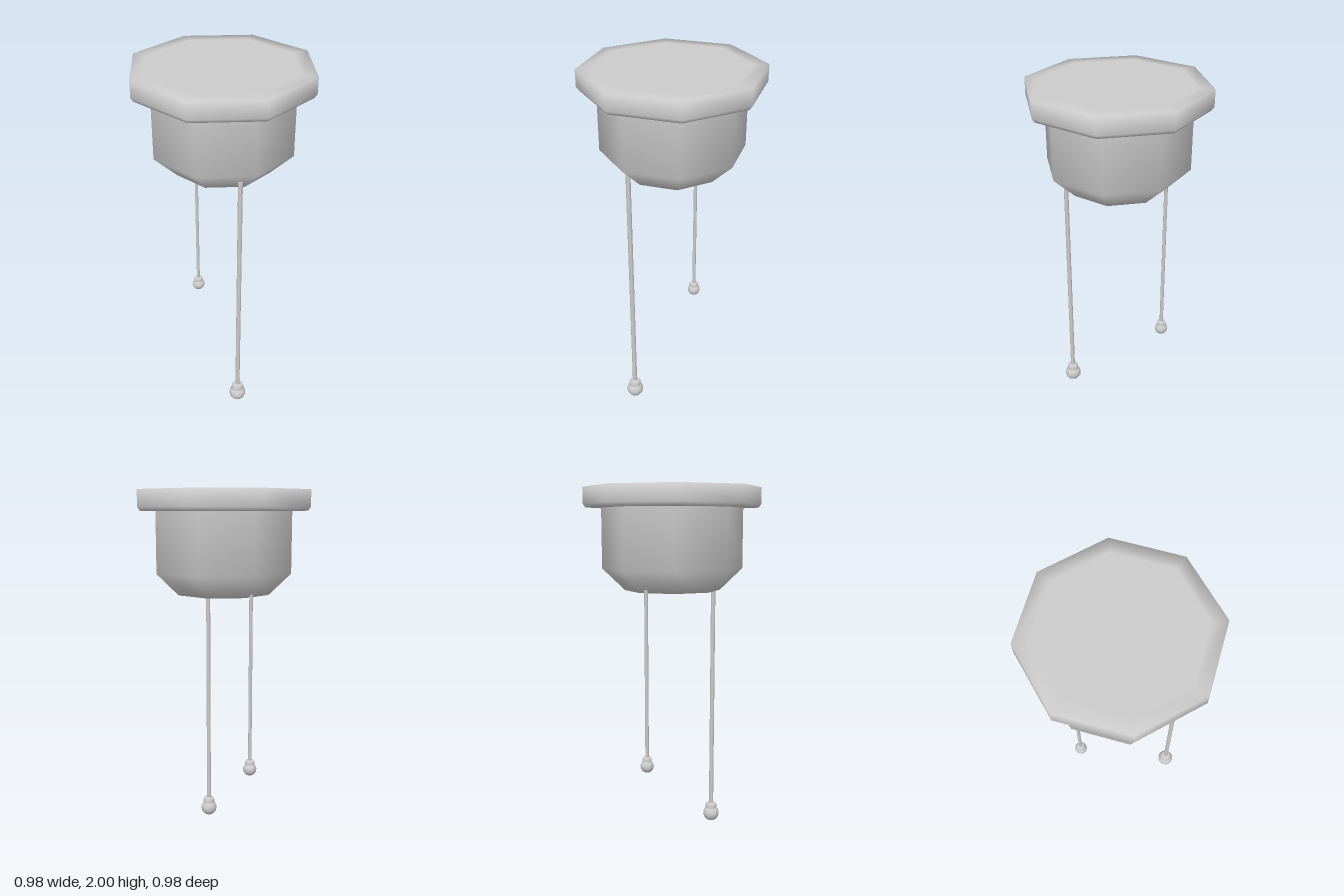
import * as THREE from 'three';

const material = new THREE.MeshStandardMaterial({ color: 0xcccccc });

function addMesh(parent, name, geometry, x = 0, y = 0, z = 0) {
  const mesh = new THREE.Mesh(geometry, material);
  mesh.name = name;
  mesh.position.set(x, y, z);
  parent.add(mesh);
  return mesh;
}

// Revolved profile, listed from bottom to top as [radius, height]
function lathe(profile, sides) {
  return new THREE.LatheGeometry(profile.map(([r, y]) => new THREE.Vector2(r, y)), sides);
}

// Hanging cord with a tapered collar and a ball at its lower end
function pullCord(name, { x, z, top, ballY, ballR, cordR }) {
  const cord = new THREE.Group();
  cord.name = name;
  cord.position.set(x, 0, z);
  const length = top - ballY;
  addMesh(cord, 'cord', new THREE.CylinderGeometry(cordR, cordR, length, 8), 0, ballY + length / 2, 0);
  addMesh(cord, 'ball', new THREE.SphereGeometry(ballR, 16, 12), 0, ballY, 0);
  const collar = [[0.7, 0.7], [0.7, 1.1], [0.56, 1.4], [0, 1.4]].map(([r, y]) => [r * ballR, y * ballR]);
  addMesh(cord, 'collar', lathe(collar, 12), 0, ballY, 0);
  return cord;
}

export function createModel() {
  const model = new THREE.Group();
  model.name = 'pullCordSwitch';

  // Octagonal ceiling plate with softly shaded rim
  addMesh(model, 'ceilingPlate', lathe([
    [0.36, 1.89], [0.475, 1.89], [0.49, 1.91], [0.49, 2], [0.41, 2], [0, 2],
  ], 8));

  // Octagonal housing tapering to a flat underside
  addMesh(model, 'housing', lathe([
    [0, 1.44], [0.265, 1.44], [0.39, 1.56], [0.39, 1.9],
  ], 8));

  model.add(pullCord('longCord', { x: -0.045, z: 0.304, top: 1.5, ballY: 0.048, ballR: 0.048, cordR: 0.013 }));
  model.add(pullCord('shortCord', { x: -0.045, z: -0.257, top: 1.5, ballY: 0.485, ballR: 0.037, cordR: 0.01 }));
  return model;
}
